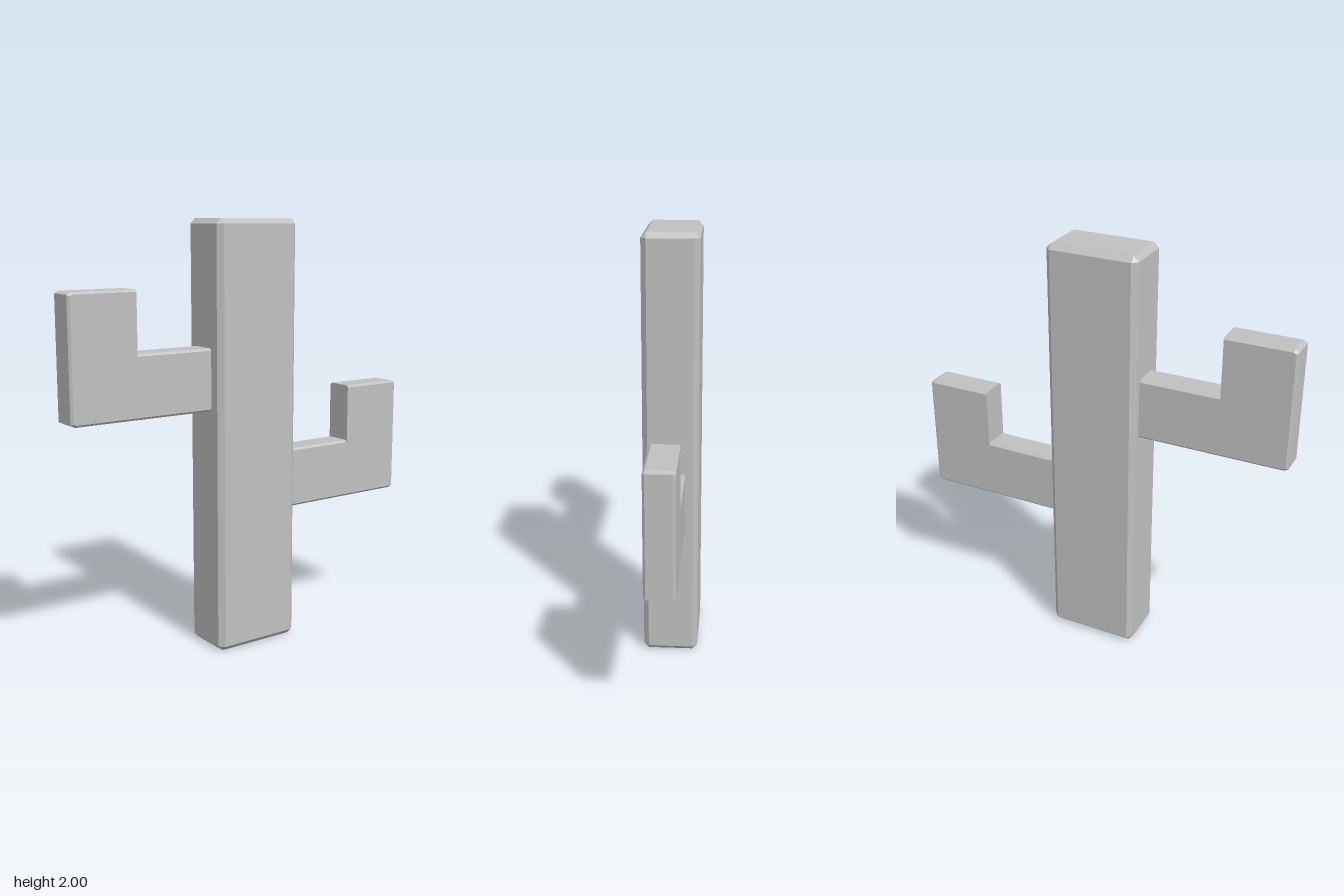
import * as THREE from 'three';
import { ConvexGeometry } from 'three/addons/geometries/ConvexGeometry.js';

// Box with flat chamfers on every edge, centred on the origin
function chamferedBox(w, h, d, c) {
  const points = [];
  for (const sx of [-1, 1]) for (const sy of [-1, 1]) for (const sz of [-1, 1]) {
    const x = w / 2, y = h / 2, z = d / 2;
    points.push(
      new THREE.Vector3(sx * x, sy * (y - c), sz * (z - c)),
      new THREE.Vector3(sx * (x - c), sy * y, sz * (z - c)),
      new THREE.Vector3(sx * (x - c), sy * (y - c), sz * z)
    );
  }
  return new ConvexGeometry(points);
}

// L-shaped arm reaching along +z and turning up; its underside is at y = 0
function armGeometry() {
  const width = 0.133, bevel = 0.01;
  const root = 0.15, inner = 0.592, outer = 0.913, elbow = 0.287, top = 0.563;
  const cz = 0.02, cy = 0.01;
  const shape = new THREE.Shape([
    [root, 0], [outer - cz, 0], [outer, cy], [outer, top - cy],
    [outer - cz, top], [inner, top], [inner, elbow], [root, elbow],
  ].map(([z, y]) => new THREE.Vector2(z, y)));
  const depth = width - 2 * bevel;
  const geometry = new THREE.ExtrudeGeometry(shape, {
    depth, bevelEnabled: true, bevelThickness: bevel, bevelSize: bevel,
    bevelOffset: -bevel, bevelSegments: 1,
  });
  // Keep the inner upright edge square
  const p = geometry.attributes.position;
  for (let i = 0; i < p.count; i++) {
    if (Math.abs(p.getX(i) - inner - bevel) < 0.001) p.setX(i, inner);
  }
  geometry.rotateY(-Math.PI / 2);
  geometry.translate(depth / 2, 0, 0);
  geometry.computeVertexNormals();
  return geometry;
}

export function createModel() {
  const group = new THREE.Group();
  const grey = new THREE.MeshStandardMaterial({ color: 0xc0c0c0, flatShading: true });
  grey.name = 'grey';

  // Upright trunk
  const trunk = new THREE.Mesh(chamferedBox(0.256, 2, 0.434, 0.024), grey);
  trunk.name = 'trunk';
  trunk.position.set(-0.002, 1, -0.002);
  group.add(trunk);

  // Higher front arm and lower back arm
  const geometry = armGeometry();
  const arms = [
    { name: 'frontArm', x: -0.011, y: 1.14, turn: 0 },
    { name: 'backArm', x: -0.004, y: 0.625, turn: Math.PI },
  ];
  for (const { name, x, y, turn } of arms) {
    const arm = new THREE.Mesh(geometry, grey);
    arm.name = name;
    arm.position.set(x, y, 0);
    arm.rotation.y = turn;
    group.add(arm);
  }
  return group;
}
